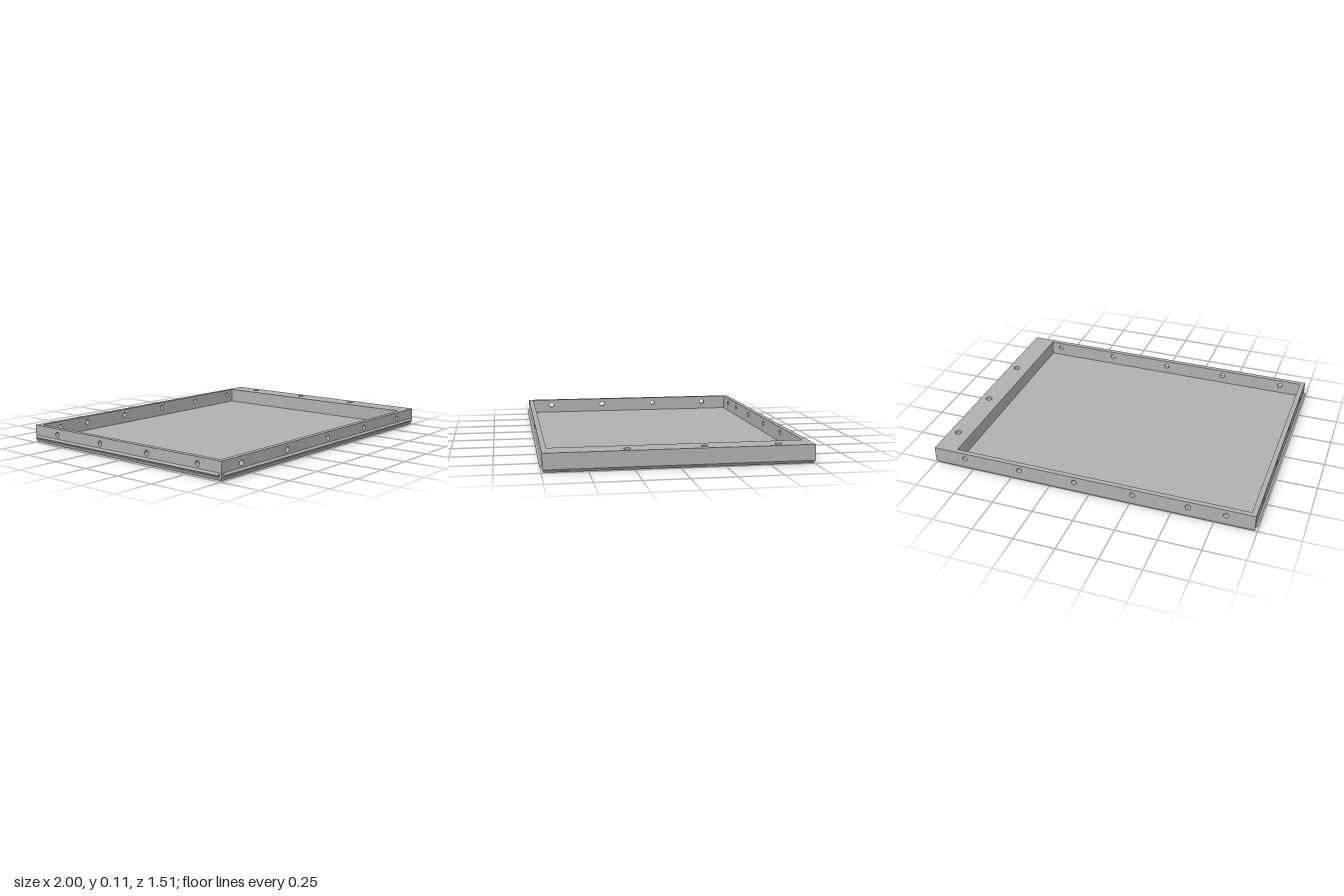
import * as THREE from 'three';

const X0 = -0.988, X1 = 1.0, Z0 = -0.757, Z1 = 0.745; // outer walls
const T = 0.03, FLOOR = 0.017, TOP = 0.107, BAR = 0.86;
const HOLE_Y = 0.07, HOLE_R = 0.016;

// Rectangle with round holes, extruded along +z
function panel(a0, b0, a1, b1, holes, radius, depth) {
  const shape = new THREE.Shape();
  shape.moveTo(a0, b0).lineTo(a1, b0).lineTo(a1, b1).lineTo(a0, b1).closePath();
  for (const [a, b] of holes) {
    const hole = new THREE.Path();
    hole.absarc(a, b, radius, 0, Math.PI * 2, true);
    shape.holes.push(hole);
  }
  return new THREE.ExtrudeGeometry(shape, { depth, bevelEnabled: false, curveSegments: 12 });
}

// Triangular rib profile extruded along +z
function rib(side, length) {
  const shape = new THREE.Shape([
    new THREE.Vector2(0, 0.019),
    new THREE.Vector2(side * 0.012, 0.032),
    new THREE.Vector2(0, 0.043),
  ]);
  return new THREE.ExtrudeGeometry(shape, { depth: length, bevelEnabled: false });
}

// Slab whose lower edges are chamfered inwards
function chamferedBase() {
  const g = new THREE.BoxGeometry(X1 - X0, FLOOR, Z1 - Z0);
  g.translate((X0 + X1) / 2, FLOOR / 2, (Z0 + Z1) / 2);
  const p = g.attributes.position;
  for (let i = 0; i < p.count; i++) {
    if (p.getY(i) > FLOOR / 2) continue;
    p.setX(i, p.getX(i) + (p.getX(i) > 0 ? -0.012 : 0.008));
    p.setZ(i, p.getZ(i) + (p.getZ(i) > 0 ? -0.008 : 0.008));
  }
  g.computeVertexNormals();
  return g;
}

export function createModel() {
  const group = new THREE.Group();
  group.name = 'tray';
  const grey = new THREE.MeshStandardMaterial({ color: 0xb0b0b0 });
  grey.name = 'plain grey';
  const add = (name, geometry) => {
    const mesh = new THREE.Mesh(geometry, grey);
    mesh.name = name;
    group.add(mesh);
  };
  const row = (list) => list.map((a) => [a, HOLE_Y]);

  add('base', chamferedBase());

  // Long walls
  add('frontWall', panel(X0, FLOOR, X1, TOP,
    row([-0.825, -0.42, -0.015, 0.39, 0.795]), HOLE_R, T).translate(0, 0, Z1 - T));
  add('backWall', panel(X0, FLOOR, X1, TOP,
    row([-0.82, -0.6, -0.27, 0.09, 0.44, 0.8]), HOLE_R, T).translate(0, 0, Z0));

  // Left wall, between the long walls
  add('leftWall', panel(Z0 + T, FLOOR, Z1 - T, TOP,
    row([-0.555, -0.175, 0.205, 0.58]), HOLE_R, T)
    .rotateY(-Math.PI / 2).translate(X0 + T, 0, 0));

  // Wide end bar with blind holes in its top
  add('endBar', panel(BAR, -(Z1 - T), X1, -(Z0 + T),
    [[0.945, 0.56], [0.945, 0.14], [0.945, -0.285]], 0.02, TOP - FLOOR)
    .rotateX(-Math.PI / 2).translate(0, FLOOR, 0));

  // Snap ribs on the front and left faces
  add('frontRib', rib(1, 1.955).rotateY(-Math.PI / 2).translate(0.98, 0, Z1));
  add('leftRib', rib(-1, 1.475).translate(X0, 0, -0.745));

  return group;
}
